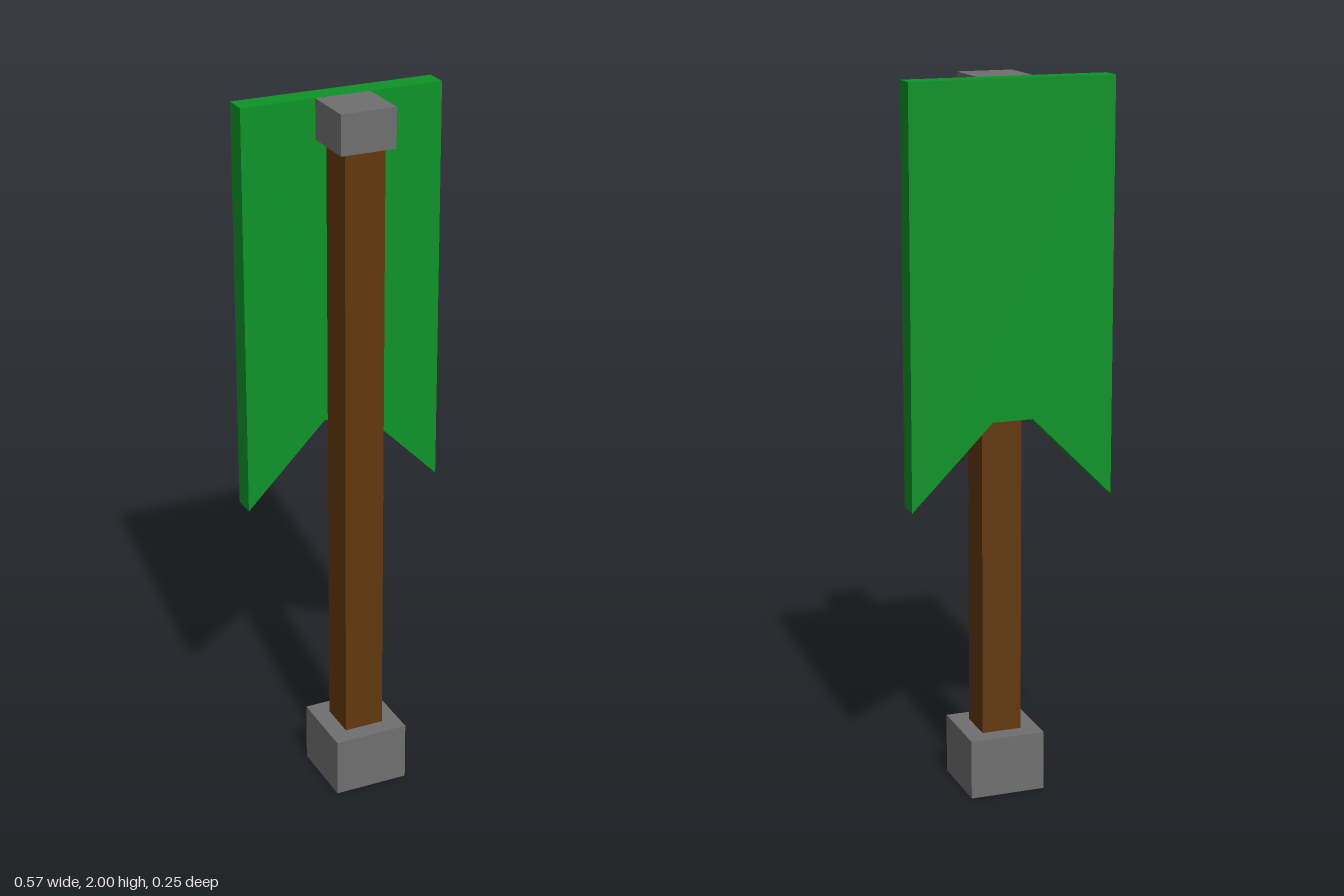
import * as THREE from 'three';

export function createModel() {
  const group = new THREE.Group();
  const paint = (color) => new THREE.MeshStandardMaterial({ color, flatShading: true });
  const stone = paint(0x707070);
  const wood = paint(0x62380e);
  const cloth = paint(0x0d9428);
  const postZ = 0.017;

  // Square block centred on the post axis, spanning y0 to y1
  function block(name, width, y0, y1, material) {
    const mesh = new THREE.Mesh(new THREE.BoxGeometry(width, y1 - y0, width), material);
    mesh.name = name;
    mesh.position.set(0, (y0 + y1) / 2, postZ);
    group.add(mesh);
  }
  block('base', 0.215, 0, 0.17, stone);
  block('post', 0.114, 0.17, 1.89, wood);
  block('cap', 0.156, 1.89, 2, stone);

  // Hanging banner with a flat-topped notch in its lower edge
  const outline = [
    [-0.286, 2], [-0.286, 0.86], [-0.057, 1.09],
    [0.057, 1.09], [0.286, 0.86], [0.286, 2],
  ].map(([x, y]) => new THREE.Vector2(x, y));
  const banner = new THREE.Mesh(
    new THREE.ExtrudeGeometry(new THREE.Shape(outline), { depth: 0.066, bevelEnabled: false }),
    cloth,
  );
  banner.name = 'banner';
  banner.position.z = -0.127;
  group.add(banner);

  return group;
}
